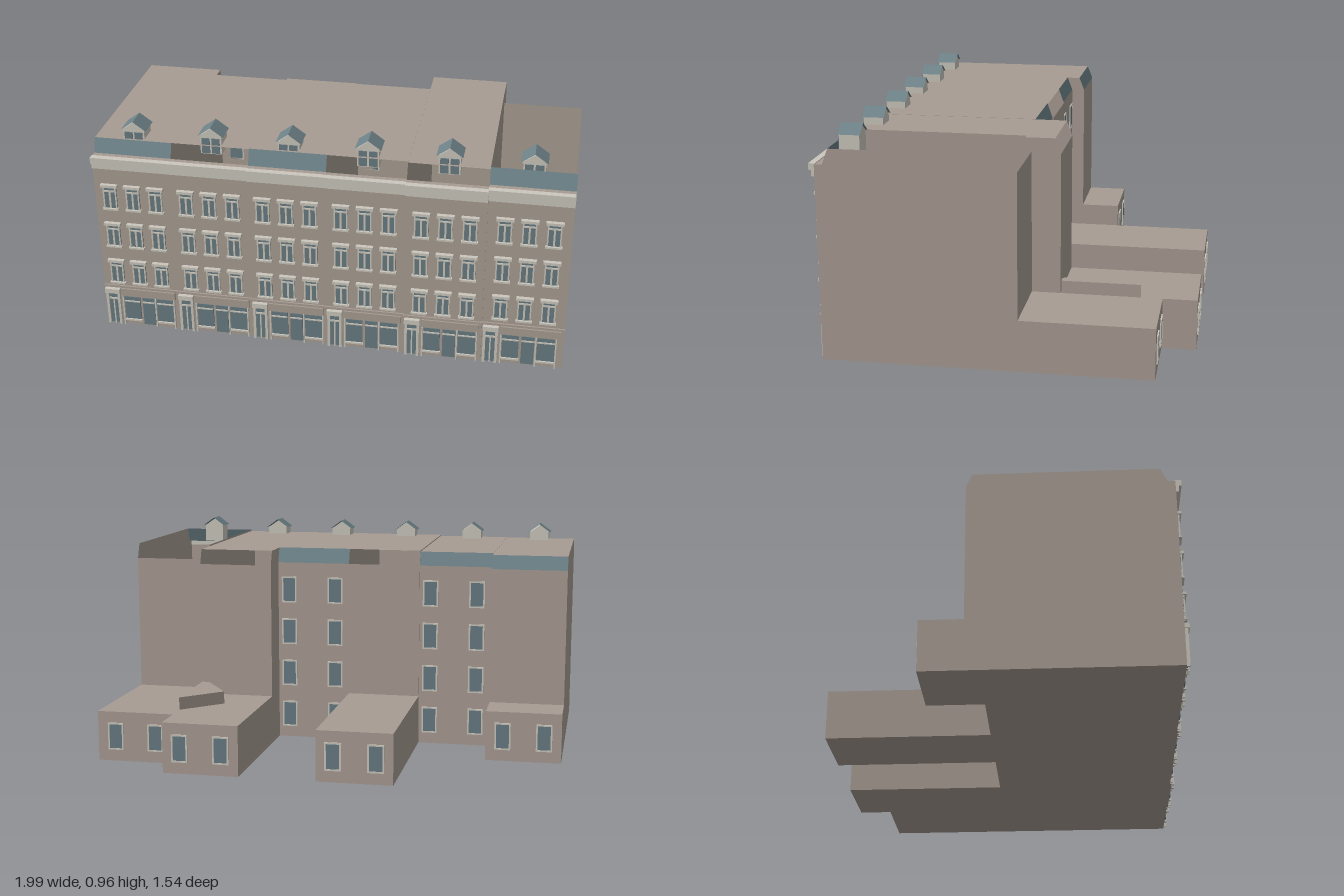
import * as THREE from 'three';
import { mergeGeometries } from 'three/addons/utils/BufferGeometryUtils.js';

const mat = (name, color) => new THREE.MeshStandardMaterial({ name, color, side: THREE.DoubleSide });

export function createModel() {
  const wallMat = mat('taupe render', 0xa89c93);
  const slateMat = mat('slate blue roof', 0x6d8288);
  const glassMat = mat('grey blue glass', 0x687b82);
  const trimMat = mat('pale stone trim', 0xcbc7bd);

  const model = new THREE.Group();
  model.name = 'terraceRow';

  const add = (parent, name, geo, material, x = 0, y = 0, z = 0) => {
    const m = new THREE.Mesh(geo, material);
    m.name = name;
    m.position.set(x, y, z);
    parent.add(m);
    return m;
  };
  // box given by its min and max corners
  const block = (x0, x1, y0, y1, z0, z1) =>
    new THREE.BoxGeometry(x1 - x0, y1 - y0, z1 - z0).translate((x0 + x1) / 2, (y0 + y1) / 2, (z0 + z1) / 2);
  // flat four-cornered face, corners counter-clockwise
  const quad = (...p) => {
    const g = new THREE.BufferGeometry();
    g.setAttribute('position', new THREE.Float32BufferAttribute([0, 1, 2, 0, 2, 3].flatMap(i => p[i]), 3));
    g.computeVertexNormals();
    return g;
  };

  // shared window: stone frame with a T of glazing bars, in front of a pane
  const W = 0.058, H = 0.112;
  const frameGeo = mergeGeometries([
    block(-W / 2, -W / 2 + 0.006, 0, H, 0, 0.01),
    block(W / 2 - 0.006, W / 2, 0, H, 0, 0.01),
    block(-0.004, 0.004, 0, H * 0.74, 0, 0.009),
    block(-W / 2, W / 2, H * 0.72, H * 0.78, 0, 0.009),
    block(-0.036, 0.036, H - 0.008, H + 0.004, 0, 0.018),
    block(-0.034, 0.034, -0.004, 0.004, 0, 0.015),
  ]);
  const paneGeo = block(-W / 2, W / 2, 0, H, 0, 0.005);
  // plain back window, facing -z
  const backFrameGeo = mergeGeometries([
    block(-0.035, -0.028, 0, 0.12, -0.006, 0), block(0.028, 0.035, 0, 0.12, -0.006, 0),
    block(-0.035, 0.035, 0.113, 0.12, -0.006, 0), block(-0.035, 0.035, 0, 0.007, -0.006, 0),
  ]);
  const backPaneGeo = block(-0.03, 0.03, 0.003, 0.117, -0.004, 0);
  const backWindow = (parent, x, y, z) => {
    add(parent, 'backWindowFrame', backFrameGeo, trimMat, x, y, z);
    add(parent, 'backWindowPane', backPaneGeo, glassMat, x, y, z);
  };

  // dormer with gabled roof
  const dormer = (parent, x, z, y) => {
    const g = new THREE.Group();
    g.name = 'dormer';
    g.position.set(x, y, z);
    const s = new THREE.Shape([[-0.045, -0.05], [0.045, -0.05], [0.045, 0.03], [0, 0.062], [-0.045, 0.03]]
      .map(p => new THREE.Vector2(...p)));
    add(g, 'dormerBody', new THREE.ExtrudeGeometry(s, { depth: 0.085, bevelEnabled: false }), trimMat, 0, 0, -0.09);
    for (const k of [-1, 1]) {
      add(g, 'dormerRoof', quad([0, 0.069, 0], [0, 0.069, -0.095], [k * 0.054, 0.03, -0.095], [k * 0.054, 0.03, 0]
        ).scale(1, 1, 1), slateMat);
      add(g, 'dormerPane', block(k < 0 ? -0.038 : 0.004, k < 0 ? -0.004 : 0.038, -0.045, 0.022, -0.004, 0), glassMat);
    }
    // verge board closing the gable
    const v = new THREE.Shape([[-0.054, 0.028], [0.054, 0.028], [0, 0.067]].map(p => new THREE.Vector2(...p)));
    add(g, 'dormerGable', new THREE.ShapeGeometry(v), trimMat, 0, 0, 0.001);
    parent.add(g);
  };

  // x0, x1, front z, back z, roof top; front/back slopes and flat roof present; rear wing end z
  const houses = [
    { x0: -1, x1: -0.67, f: 0.728, b: -0.12, top: 0.88, front: true, back: true, flat: true, wing: -0.3, dz: 0.66 },
    { x0: -0.67, x1: -0.34, f: 0.729, b: -0.06, top: 0.881, back: true, flat: true, dz: 0.662, rear: [-0.39, -0.6] },
    { x0: -0.34, x1: -0.015, f: 0.733, b: -0.065, top: 0.886, front: true, flat: true, wing: -0.77, dz: 0.665 },
    { x0: -0.015, x1: 0.317, f: 0.735, b: -0.06, top: 0.886, back: true, flat: true, dz: 0.665, rear: [0.265, 0.05] },
    { x0: 0.317, x1: 0.648, f: 0.742, b: -0.197, top: 0.885, flat: true, wing: -0.77, dz: 0.673 },
    { x0: 0.648, x1: 0.99, f: 0.737, b: -0.075, top: 0.892, front: true, wing: -0.625, dz: 0.676, lift: 0.006 },
  ];

  for (const h of houses) {
    const { x0, x1, f, b, top } = h;
    const lift = h.lift || 0;
    const eave = 0.82 + lift, s0 = f - 0.033, s1 = f - 0.058, b1 = b + 0.024;
    const mid = (x0 + x1) / 2;
    const g = new THREE.Group();
    g.name = 'house';
    model.add(g);

    // shell: side walls follow the mansard profile
    const profile = new THREE.Shape([[f, 0], [f, eave], [s0, eave], [s1, top], [b1, top], [b, eave], [b, 0]]
      .map(([z, y]) => new THREE.Vector2(-z, y)));
    for (const x of [x0, x1]) {
      const side = new THREE.ShapeGeometry(profile).rotateY(Math.PI / 2);
      if (x === x0) side.index.array.reverse(), side.computeVertexNormals();
      add(g, 'sideWall', side, wallMat, x);
    }
    add(g, 'frontWall', quad([x0, 0, f], [x1, 0, f], [x1, eave, f], [x0, eave, f]), wallMat);
    add(g, 'backWall', quad([x1, 0, b], [x0, 0, b], [x0, eave, b], [x1, eave, b]), wallMat);
    add(g, 'groundFloor', quad([x0, 0, b], [x1, 0, b], [x1, 0, f], [x0, 0, f]), wallMat);
    add(g, 'eaveLedge', quad([x0, eave, f], [x1, eave, f], [x1, eave, s0], [x0, eave, s0]), wallMat);
    if (h.flat) add(g, 'flatRoof', quad([x0, top, s1], [x1, top, s1], [x1, top, b1], [x0, top, b1]), wallMat);
    if (h.front) add(g, 'frontRoofSlope', quad([x0, eave, s0], [x1, eave, s0], [x1, top, s1], [x0, top, s1]), slateMat);
    if (h.back) add(g, 'backRoofSlope', quad([x1, eave, b], [x0, eave, b], [x0, top, b1], [x1, top, b1]), slateMat);

    // stepped cornice and string course
    add(g, 'corniceFrieze', block(x0, x1, 0.77 + lift, 0.797 + lift, f, f + 0.012), trimMat);
    add(g, 'corniceTop', block(x0, x1, 0.797 + lift, 0.824 + lift, f - 0.004, f + 0.023), trimMat);
    add(g, 'stringCourse', block(x0, x1, 0.186, 0.196, f, f + 0.008), wallMat);

    // three storeys of three windows
    for (const y of [0.214, 0.397, 0.58])
      for (const k of [-1, 0, 1]) {
        const x = mid + k * 0.099;
        add(g, 'windowFrame', frameGeo, trimMat, x, y + lift, f);
        add(g, 'windowPane', paneGeo, glassMat, x, y + lift, f);
      }

    // house door with stone surround
    add(g, 'houseDoor', block(x0 + 0.018, x0 + 0.058, 0.004, 0.155, f, f + 0.006), glassMat);
    add(g, 'doorSurround', mergeGeometries([
      block(x0 + 0.007, x0 + 0.018, 0, 0.16, f, f + 0.014),
      block(x0 + 0.058, x0 + 0.069, 0, 0.16, f, f + 0.014),
      block(x0 + 0.018, x0 + 0.058, 0.125, 0.133, f, f + 0.01),
      block(x0 + 0.035, x0 + 0.041, 0, 0.125, f, f + 0.009),
      block(x0 + 0.005, x0 + 0.071, 0.16, 0.182, f, f + 0.02),
    ]), trimMat);

    // shopfront: window, door, window under a fascia
    add(g, 'shopFascia', block(x0 + 0.078, x1 - 0.012, 0.148, 0.184, f, f + 0.012), wallMat);
    for (const [a, c, y] of [[0.087, 0.157, 0.03], [0.168, 0.222, 0.006], [0.233, 0.308, 0.03]]) {
      add(g, 'shopPane', block(x0 + a, x0 + c, y, 0.142, f, f + 0.006), glassMat);
      add(g, 'shopTransom', block(x0 + a, x0 + c, 0.118, 0.124, f, f + 0.01), trimMat);
    }
    for (const a of [0.082, 0.228, 0.311])
      add(g, 'shopPost', block(x0 + a - 0.003, x0 + a + 0.003, 0, 0.146, f, f + 0.012), trimMat);
    for (const [a, c] of [[0.085, 0.16], [0.23, 0.311]])
      add(g, 'stallRiser', block(x0 + a, x0 + c, 0.02, 0.028, f, f + 0.01), trimMat);

    dormer(g, mid, h.dz, 0.888 + lift * 0.5);

    // rear wing and back windows
    if (h.wing) {
      add(g, 'rearWing', block(x0, x1, 0, 0.219, h.wing, b), wallMat);
      for (const k of [-0.09, 0.09]) backWindow(g, mid + k, 0.05, h.wing);
    }
    for (const x of h.rear || [])
      for (const y of [0.05, 0.245, 0.44, 0.635]) backWindow(g, x, y, b);
  }

  // angular raised roof piece on a rear wing
  const raised = new THREE.Shape([[0.648, 0.2], [0.648, 0.535], [0.49, 0.38], [0.615, 0.2]].map(p => new THREE.Vector2(...p)));
  add(model, 'raisedWingRoof', new THREE.ExtrudeGeometry(raised, { depth: 0.055, bevelEnabled: false }).rotateX(-Math.PI / 2),
    wallMat, 0, 0.219, 0);

  return model;
}
